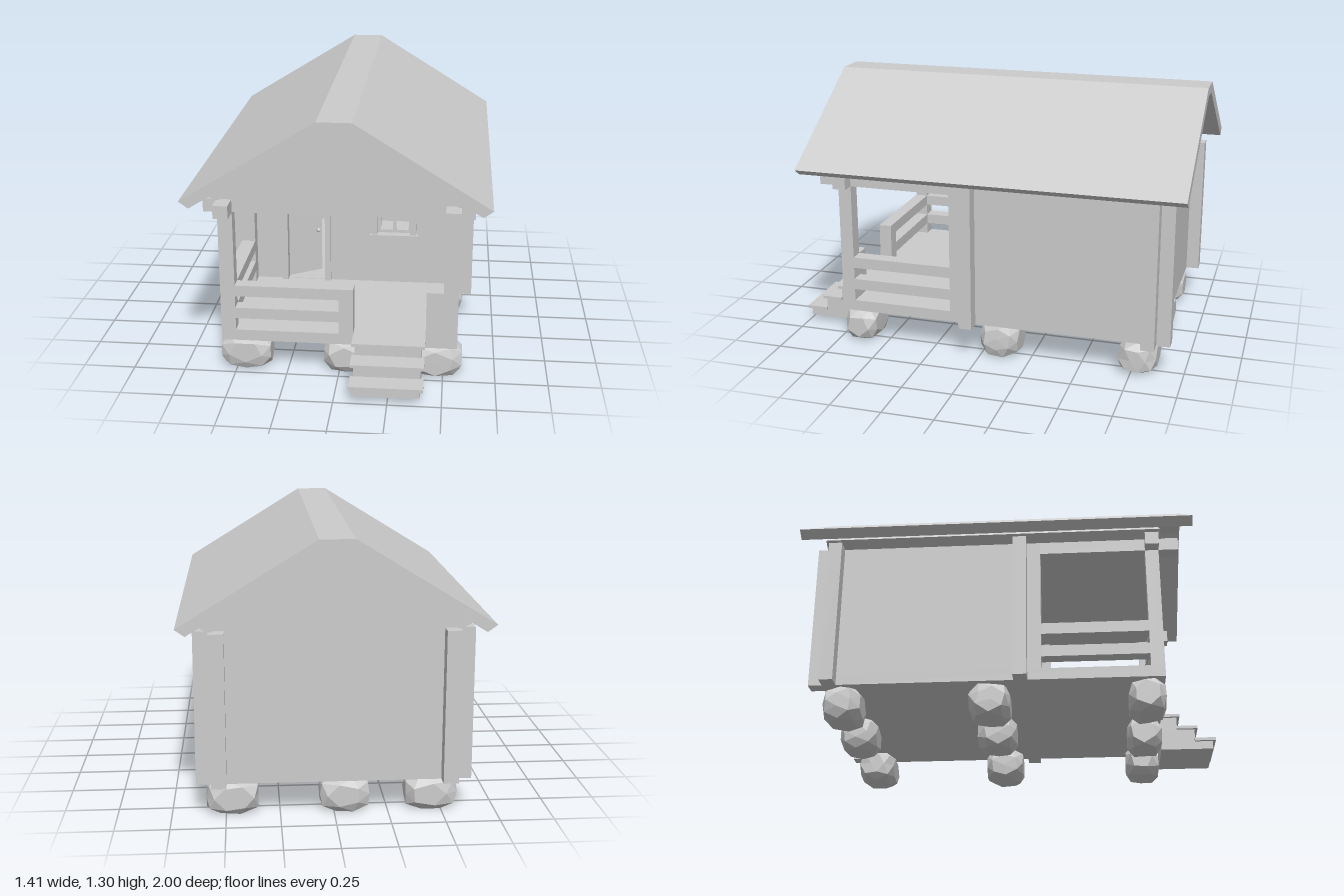
import * as THREE from 'three';

export function createModel() {
  const model = new THREE.Group();
  const mat = new THREE.MeshStandardMaterial({ color: 0xcccccc, flatShading: true, side: THREE.DoubleSide });

  const add = (name, geo, parent = model) => {
    const m = new THREE.Mesh(geo, mat);
    m.name = name;
    parent.add(m);
    return m;
  };
  // Box from its minimum and maximum corners
  const box = (name, x0, x1, y0, y1, z0, z1, parent) => {
    const g = new THREE.BoxGeometry(x1 - x0, y1 - y0, z1 - z0);
    g.translate((x0 + x1) / 2, (y0 + y1) / 2, (z0 + z1) / 2);
    return add(name, g, parent);
  };
  const rect = (x0, x1, y0, y1) =>
    [[x0, y0], [x1, y0], [x1, y1], [x0, y1]].map(p => new THREE.Vector2(...p));
  // Outline with rectangular holes, extruded from z0 to z1
  const plate = (name, pts, z0, z1, holes = [], parent) => {
    const s = new THREE.Shape(pts);
    holes.forEach(h => s.holes.push(new THREE.Path(rect(...h))));
    const g = new THREE.ExtrudeGeometry(s, { depth: z1 - z0, bevelEnabled: false });
    g.translate(0, 0, z0);
    return add(name, g, parent);
  };
  // Mirrored outline from the points of its right half
  const mirrored = half => [
    ...half.map(([x, y]) => new THREE.Vector2(x, y)),
    ...half.slice().reverse().map(([x, y]) => new THREE.Vector2(-x, y))
  ];
  // Closed band following the roof slope: upper points, then lower points
  const band = (name, upper, lower, z0, z1) => plate(name, [
    ...mirrored(upper), ...mirrored(lower.map(([x, y]) => [-x, y]))
  ], z0, z1);

  // Roof, its lining and the solid attic
  band('roof', [[0.705, 0.92], [0.08, 1.305]], [[0.66, 0.888], [0.053, 1.257]], -1, 0.885);
  band('roofLining', [[0.615, 0.905], [0.05, 1.258]], [[0.56, 0.875], [0.03, 1.21]], -0.89, 0.74);
  plate('attic', mirrored([[0.495, 0.817], [0.495, 0.88], [0.565, 0.88], [0.032, 1.215]]), -0.87, 0.725);

  // Floor and walls, crossing at the corners
  box('floor', -0.565, 0.565, 0.16, 0.215, -0.87, 0.725);
  box('backWall', -0.635, 0.635, 0.16, 0.88, -0.87, -0.805);
  plate('frontWall', rect(-0.635, 0.635, 0.16, 0.88), 0.025, 0.09,
    [[-0.33, -0.135, 0.217, 0.665], [0.14, 0.31, 0.485, 0.665]]);
  box('porchLintel', -0.63, 0.63, 0.817, 0.88, 0.66, 0.725);

  for (const s of [-1, 1]) {
    const side = (name, y0, y1, z0, z1) =>
      box(name, Math.min(s * 0.495, s * 0.565), Math.max(s * 0.495, s * 0.565), y0, y1, z0, z1);
    side('sideWall', 0.16, 0.88, -0.935, 0.155);
    side('porchPost', 0.16, 0.88, 0.66, 0.725);
    side('porchBeam', 0.817, 0.88, 0.155, 0.82);
    side('sideRailLower', 0.275, 0.33, 0.155, 0.66);
    side('sideRailUpper', 0.39, 0.445, 0.155, 0.66);
  }

  // Front railing beside the steps
  box('frontRailLower', -0.495, 0, 0.275, 0.33, 0.66, 0.725);
  box('frontRailUpper', -0.495, 0, 0.39, 0.445, 0.66, 0.725);
  box('railPost', 0, 0.07, 0.16, 0.445, 0.66, 0.725);
  box('railPost', 0.415, 0.495, 0.16, 0.445, 0.66, 0.725);

  // Steps with overhanging treads
  for (let i = 0; i < 3; i++) {
    const y = 0.07 + i * 0.065, z = 1 - i * 0.0875;
    box('stepBody', 0.085, 0.4, i ? y - 0.065 : 0.03, y, 0.725, z - 0.015);
    box('stepTread', 0.07, 0.415, y, y + 0.015, i < 2 ? z - 0.105 : 0.725, z);
  }

  // Door frame and a door standing ajar
  box('doorJamb', -0.36, -0.33, 0.215, 0.665, 0.08, 0.11);
  box('doorJamb', -0.135, -0.105, 0.215, 0.665, 0.08, 0.11);
  box('doorHead', -0.37, -0.095, 0.665, 0.695, 0.08, 0.12);
  const door = new THREE.Group();
  door.name = 'door';
  door.position.set(-0.328, 0, 0.07);
  door.rotation.y = 0.56;
  model.add(door);
  box('doorLeaf', 0, 0.19, 0.222, 0.66, -0.02, 0, door);
  for (const z of [-0.034, 0.014]) {
    const knob = add('doorKnob', new THREE.SphereGeometry(0.012, 10, 8), door);
    knob.position.set(0.165, 0.455, z);
  }

  // Window frame and four-pane sash
  box('windowJamb', 0.11, 0.14, 0.485, 0.67, 0.08, 0.11);
  box('windowJamb', 0.31, 0.34, 0.485, 0.67, 0.08, 0.11);
  box('windowHead', 0.10, 0.35, 0.665, 0.695, 0.08, 0.12);
  box('windowSill', 0.10, 0.35, 0.46, 0.487, 0.08, 0.12);
  plate('windowSash', rect(0.14, 0.31, 0.485, 0.665), 0.045, 0.07, [
    [0.155, 0.219, 0.5, 0.57], [0.235, 0.3, 0.5, 0.57],
    [0.155, 0.219, 0.586, 0.655], [0.235, 0.3, 0.586, 0.655]
  ]);

  // Foundation stones: clamped faceted balls, three rows of three
  const stone = (x, z, w, d, turn) => {
    const g = new THREE.IcosahedronGeometry(1, 1);
    g.rotateX(turn * 2.1 + 0.4);
    g.rotateZ(turn * 1.3);
    const p = g.attributes.position;
    const clamp = v => THREE.MathUtils.clamp(v / 0.76, -1, 1);
    for (let i = 0; i < p.count; i++) {
      p.setXYZ(i, clamp(p.getX(i)) * w / 2, clamp(p.getY(i)) * 0.081, clamp(p.getZ(i)) * d / 2);
    }
    g.computeVertexNormals();
    add('foundationStone', g).position.set(x, 0.081, z);
  };
  [[0.64, 0.17], [-0.09, 0.19], [-0.78, 0.18]].forEach(([z, d], row) => {
    [-0.455, [0.04, -0.03, -0.05][row], 0.47].forEach((x, col) => {
      stone(x, z, col === 1 ? 0.23 : 0.24, d, row * 3 + col);
    });
  });

  return model;
}
